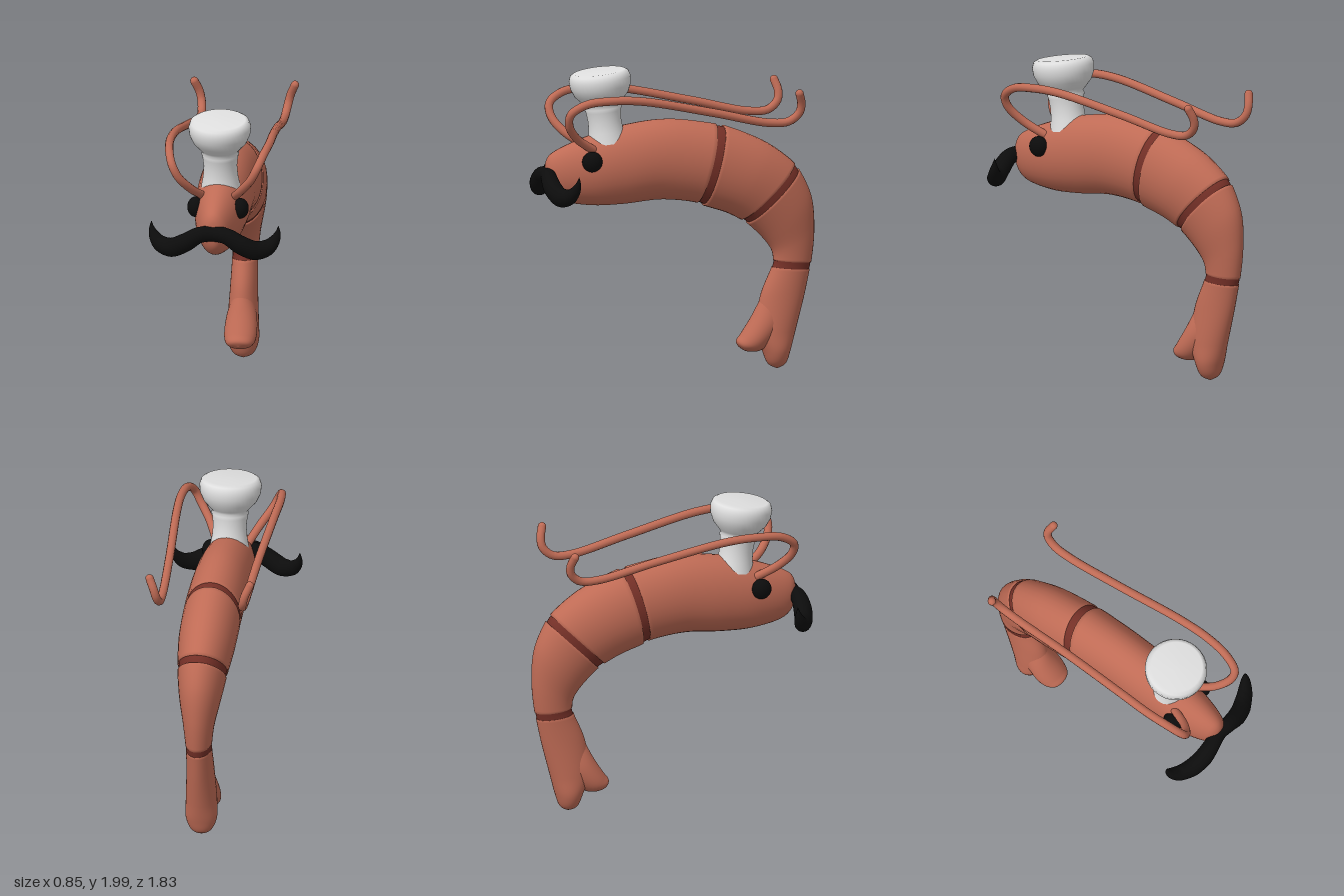
import * as THREE from 'three';

const mat = (name, color, side = THREE.FrontSide) => {
  const m = new THREE.MeshStandardMaterial({ color, side });
  m.name = name;
  return m;
};

// Smooth skin over rows of points, each row a closed ring
function skin(rows) {
  const n = rows[0].length, idx = [];
  for (let i = 0; i < rows.length - 1; i++) {
    for (let j = 0; j < n; j++) {
      const k = (j + 1) % n, a = i * n, b = a + n;
      idx.push(a + j, b + j, a + k, a + k, b + j, b + k);
    }
  }
  const g = new THREE.BufferGeometry();
  g.setAttribute('position', new THREE.Float32BufferAttribute(rows.flat().flatMap(p => p.toArray()), 3));
  g.setIndex(idx);
  g.computeVertexNormals();
  return g;
}

const SIDES = 32;
const ring = (c, u, v) => Array.from({ length: SIDES }, (_, j) => {
  const a = j / SIDES * Math.PI * 2;
  return c.clone().addScaledVector(u, Math.cos(a)).addScaledVector(v, Math.sin(a));
});

// Returns u -> elliptical ring, from sections [backZ, backY, bellyZ, bellyY, halfWidth]
function sections(list) {
  const back = new THREE.CatmullRomCurve3(list.map(s => new THREE.Vector3(s[4], s[1], s[0])));
  const belly = new THREE.CatmullRomCurve3(list.map(s => new THREE.Vector3(s[4], s[3], s[2])));
  const last = list.length - 1;
  return (u, scale = 1) => {
    const p = back.getPoint(u / last), q = belly.getPoint(u / last);
    const w = Math.max(0, (p.x + q.x) / 2) * scale;
    p.x = q.x = 0;
    return ring(p.clone().add(q).multiplyScalar(0.5), new THREE.Vector3(w, 0, 0),
      p.clone().sub(q).multiplyScalar(0.5 * scale));
  };
}

export function createModel() {
  const model = new THREE.Group();
  const shell = mat('shell', 0xbf6b55);
  const groove = mat('groove', 0x743027);
  const white = mat('hat white', 0xe0e0e0, THREE.DoubleSide);
  const black = mat('black', 0x0c0c0c);
  const add = (name, geo, material) => {
    const m = new THREE.Mesh(geo, material);
    m.name = name;
    model.add(m);
    return m;
  };

  // Curved body from nose to rear tail lobe
  const body = sections([
    [0.866, 1.34, 0.866, 1.34, 0],
    [0.856, 1.41, 0.845, 1.22, 0.05],
    [0.82, 1.455, 0.78, 1.155, 0.09],
    [0.59, 1.555, 0.57, 1.11, 0.15],
    [0.32, 1.625, 0.36, 1.11, 0.175],
    [0.05, 1.65, 0.10, 1.13, 0.18],
    [-0.265, 1.607, -0.135, 1.10, 0.185],
    [-0.32, 1.595, -0.18, 1.08, 0.185],
    [-0.60, 1.475, -0.33, 1.03, 0.18],
    [-0.785, 1.335, -0.43, 0.98, 0.162],
    [-0.815, 1.295, -0.47, 0.955, 0.157],
    [-0.895, 1.12, -0.58, 0.85, 0.13],
    [-0.915, 0.90, -0.635, 0.77, 0.10],
    [-0.895, 0.69, -0.645, 0.71, 0.085],
    [-0.885, 0.645, -0.635, 0.665, 0.083],
    [-0.85, 0.48, -0.56, 0.48, 0.088],
    [-0.79, 0.25, -0.53, 0.25, 0.10],
    [-0.755, 0.12, -0.575, 0.12, 0.10],
    [-0.725, 0.04, -0.61, 0.04, 0.065],
    [-0.67, 0.006, -0.67, 0.006, 0],
  ]);
  const spans = [['head', 0, 6], ['abdomen', 7, 9], ['lowerAbdomen', 10, 13], ['tail', 14, 19]];
  for (const [name, from, to] of spans) {
    const rows = [], steps = (to - from) * 8;
    if (from > 0) rows.push(body(from, 0.94));
    for (let i = 0; i <= steps; i++) rows.push(body(from + (to - from) * i / steps));
    if (to < 19) rows.push(body(to, 0.94));
    add(name, skin(rows), shell);
  }
  // Sunken rings between the shell segments
  for (const u of [6, 9, 13]) {
    add('shellGroove', skin([0, 0.25, 0.5, 0.75, 1].map(t => body(u + t, 0.96))), groove);
  }

  // Front tail lobe
  const lobe = sections([
    [-0.75, 0.40, -0.57, 0.48, 0.06],
    [-0.67, 0.24, -0.50, 0.345, 0.10],
    [-0.56, 0.13, -0.43, 0.235, 0.10],
    [-0.47, 0.125, -0.402, 0.195, 0.07],
    [-0.415, 0.155, -0.415, 0.155, 0],
  ]);
  add('frontTailLobe', skin(Array.from({ length: 33 }, (_, i) => lobe(i / 8))), shell);

  // Eyes and antennae, mirrored
  const feeler = [
    [0.10, 1.48, 0.57], [0.165, 1.565, 0.695], [0.235, 1.66, 0.765], [0.275, 1.74, 0.765],
    [0.305, 1.805, 0.67], [0.32, 1.825, 0.51], [0.315, 1.815, 0.30], [0.285, 1.72, -0.18],
    [0.27, 1.64, -0.55], [0.27, 1.645, -0.68], [0.28, 1.70, -0.745], [0.295, 1.76, -0.755],
    [0.325, 1.83, -0.735],
  ];
  for (const s of [1, -1]) {
    const side = s > 0 ? 'left' : 'right';
    const eye = add(side + 'Eye', new THREE.SphereGeometry(0.066, 24, 16), black);
    eye.scale.x = 0.8;
    eye.position.set(s * 0.145, 1.41, 0.59);

    const path = new THREE.CatmullRomCurve3(feeler.map(([x, y, z]) => new THREE.Vector3(s * x, y, z)));
    add(side + 'Antenna', new THREE.TubeGeometry(path, 90, 0.027, 12), shell);
    add(side + 'AntennaTip', new THREE.SphereGeometry(0.027, 12, 8), shell).position.copy(path.getPoint(1));
  }

  // Moustache: [x, y, z, radius] from the middle to the curled tip
  const half = [
    [0, 1.315, 0.85, 0.05], [0.09, 1.305, 0.862, 0.052], [0.18, 1.25, 0.858, 0.06],
    [0.275, 1.207, 0.83, 0.062], [0.35, 1.222, 0.795, 0.052], [0.393, 1.27, 0.765, 0.033],
    [0.408, 1.315, 0.75, 0.015], [0.41, 1.355, 0.745, 0],
  ];
  const full = [...half.slice(1).reverse().map(([x, ...r]) => [-x, ...r]), ...half];
  const line = new THREE.CatmullRomCurve3(full.map(p => new THREE.Vector3(p[0], p[1], p[2])));
  const hairs = [];
  for (let i = 0; i <= 84; i++) {
    const t = i / 84, f = t * (full.length - 1), k = Math.min(Math.floor(f), full.length - 2);
    const r = THREE.MathUtils.lerp(full[k][3], full[k + 1][3], f - k);
    const d = line.getTangent(t);
    const up = new THREE.Vector3(-d.y, d.x, 0).setLength(r);
    hairs.push(ring(line.getPoint(t), new THREE.Vector3(0, 0, r), up));
  }
  add('moustache', skin(hairs), black);

  // Chef hat: narrow band with a puffed crown, tipped forward
  const profile = [
    [0.125, -0.05], [0.112, 0.02], [0.107, 0.09], [0.114, 0.155], [0.12, 0.178], [0.113, 0.195],
    [0.13, 0.215], [0.172, 0.262], [0.195, 0.315], [0.2, 0.365], [0.188, 0.4], [0.165, 0.413], [0, 0.415],
  ].map(p => new THREE.Vector2(...p));
  const hat = add('chefHat', new THREE.LatheGeometry(profile, 40), white);
  hat.position.set(0, 1.565, 0.46);
  hat.rotation.x = 0.12;

  return model;
}
